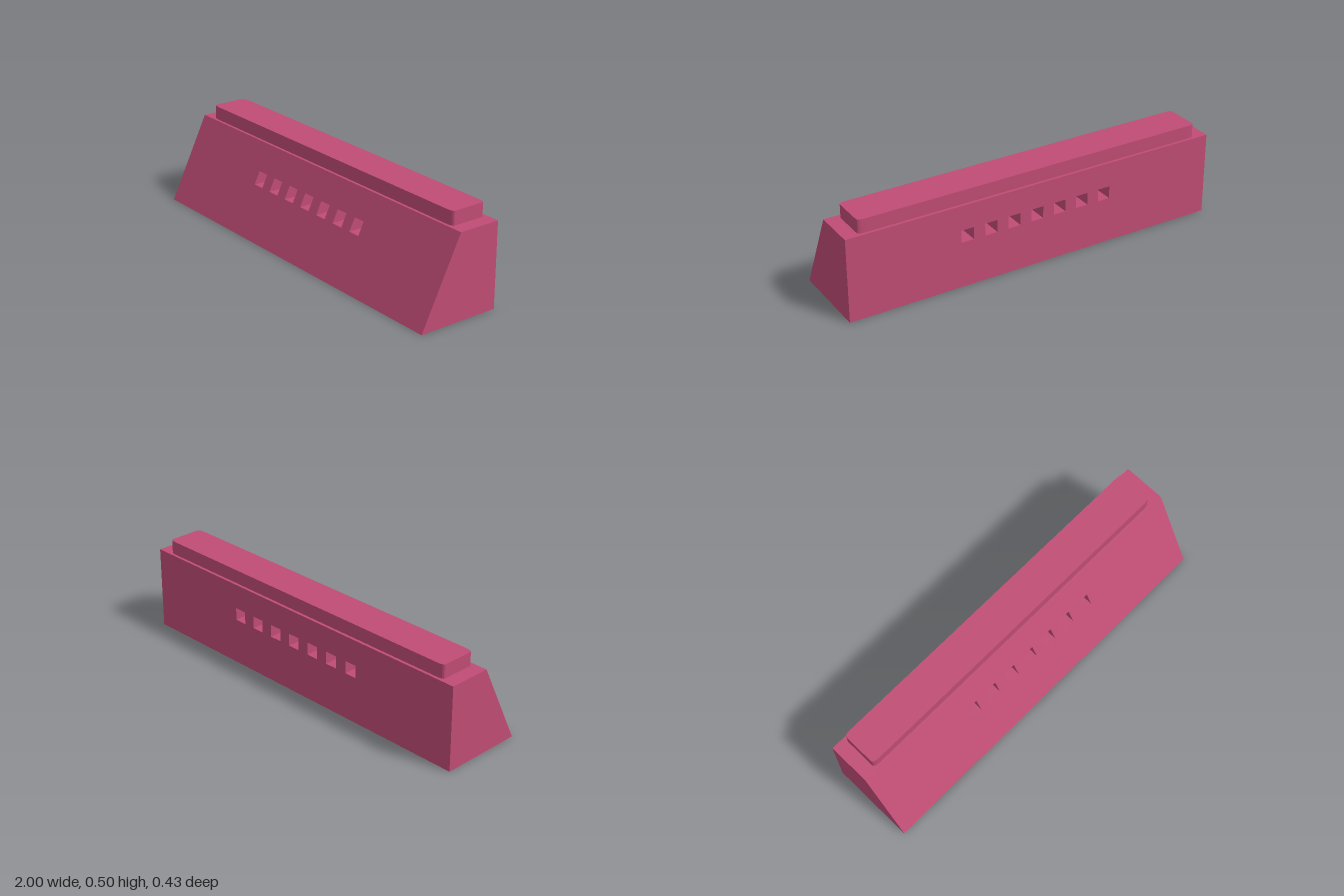
import * as THREE from 'three';

const WIDTH = 2, BODY_TOP = 0.43, BACK = -0.215, FRONT_BASE = 0.215, FRONT_TOP = 0.004;

// Closed rectangle outline, used for the body and its slots
function rectangle(target, x0, y0, x1, y1) {
  target.moveTo(x0, y0);
  target.lineTo(x1, y0);
  target.lineTo(x1, y1);
  target.lineTo(x0, y1);
  target.closePath();
  return target;
}

// Wedge body: pierced slab whose front face is sheared back to a slope
function bodyGeometry() {
  const shape = rectangle(new THREE.Shape(), -WIDTH / 2, 0, WIDTH / 2, BODY_TOP);
  for (let i = -3; i <= 3; i++) {
    const x = i * 0.127;
    shape.holes.push(rectangle(new THREE.Path(), x - 0.033, 0.238, x + 0.033, 0.302));
  }
  const geometry = new THREE.ExtrudeGeometry(shape, { depth: 1, bevelEnabled: false });
  const pos = geometry.attributes.position;
  for (let i = 0; i < pos.count; i++) {
    const front = THREE.MathUtils.lerp(FRONT_BASE, FRONT_TOP, pos.getY(i) / BODY_TOP);
    pos.setZ(i, THREE.MathUtils.lerp(BACK, front, pos.getZ(i)));
  }
  geometry.computeVertexNormals();
  return geometry;
}

// Raised top strip with small stretched corner roundings
function topStripGeometry() {
  const x = 0.928, y0 = 0.01, y1 = 0.2, rx = 0.04, ry = 0.015;
  const shape = new THREE.Shape();
  shape.moveTo(-x + rx, y0);
  shape.lineTo(x - rx, y0);
  shape.quadraticCurveTo(x, y0, x, y0 + ry);
  shape.lineTo(x, y1 - ry);
  shape.quadraticCurveTo(x, y1, x - rx, y1);
  shape.lineTo(-x + rx, y1);
  shape.quadraticCurveTo(-x, y1, -x, y1 - ry);
  shape.lineTo(-x, y0 + ry);
  shape.quadraticCurveTo(-x, y0, -x + rx, y0);
  const geometry = new THREE.ExtrudeGeometry(shape, { depth: 0.07, bevelEnabled: false, curveSegments: 4 });
  geometry.rotateX(-Math.PI / 2);
  geometry.translate(0, BODY_TOP, 0);
  return geometry;
}

export function createModel() {
  const group = new THREE.Group();
  group.name = 'slottedWedge';
  const material = new THREE.MeshStandardMaterial({ color: 0xc04c74, flatShading: true });
  const add = (name, geometry) => {
    const mesh = new THREE.Mesh(geometry, material);
    mesh.name = name;
    group.add(mesh);
  };
  add('body', bodyGeometry());
  add('topStrip', topStripGeometry());
  return group;
}
